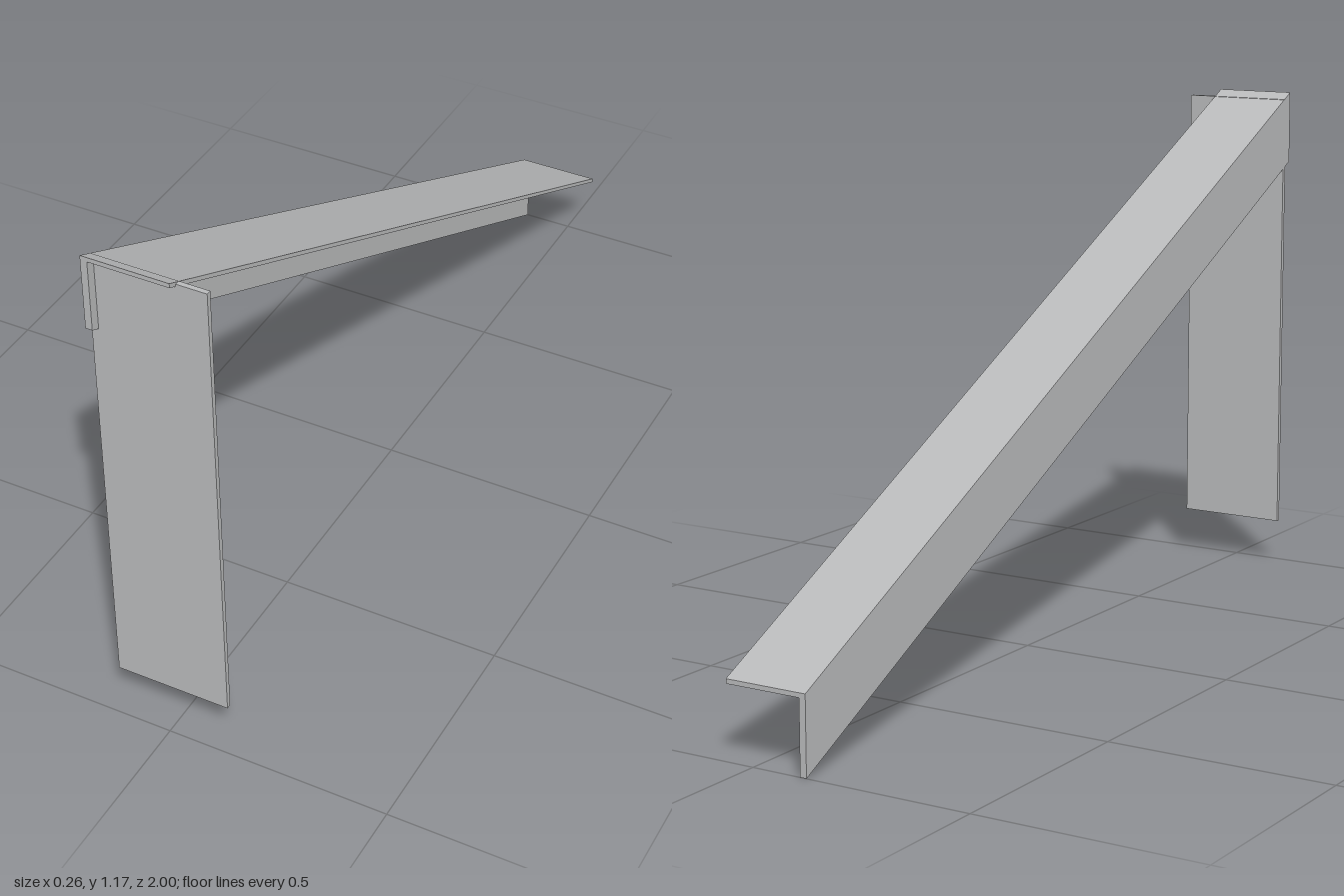
import * as THREE from 'three';

export function createModel() {
  const group = new THREE.Group();
  const steel = new THREE.MeshStandardMaterial({ color: 0xb8b9ba });
  steel.name = 'grey steel';

  // Sloping angle beam: an L section, sheared so that it falls 1 unit from front to back
  const left = -0.128, web = -0.113, right = 0.062, top = 0.168, under = 0.158;
  const section = new THREE.Shape([
    [left, 0], [web, 0], [web, under], [right, under], [right, top], [left, top],
  ].map(([x, y]) => new THREE.Vector2(x, y)));
  const beamGeometry = new THREE.ExtrudeGeometry(section, { depth: 2, bevelEnabled: false });
  beamGeometry.translate(0, 0, -1);
  const p = beamGeometry.attributes.position;
  for (let i = 0; i < p.count; i++) p.setY(i, p.getY(i) + 0.5 * (p.getZ(i) + 1));
  beamGeometry.computeVertexNormals();
  const beam = new THREE.Mesh(beamGeometry, steel);
  beam.name = 'angleBeam';
  group.add(beam);

  // Upright flat plate carrying the high end
  const plate = new THREE.Mesh(new THREE.BoxGeometry(0.256, 1.048, 0.011), steel);
  plate.position.set(0, 0.629, 0.9735);
  plate.name = 'supportPlate';
  group.add(plate);

  return group;
}
